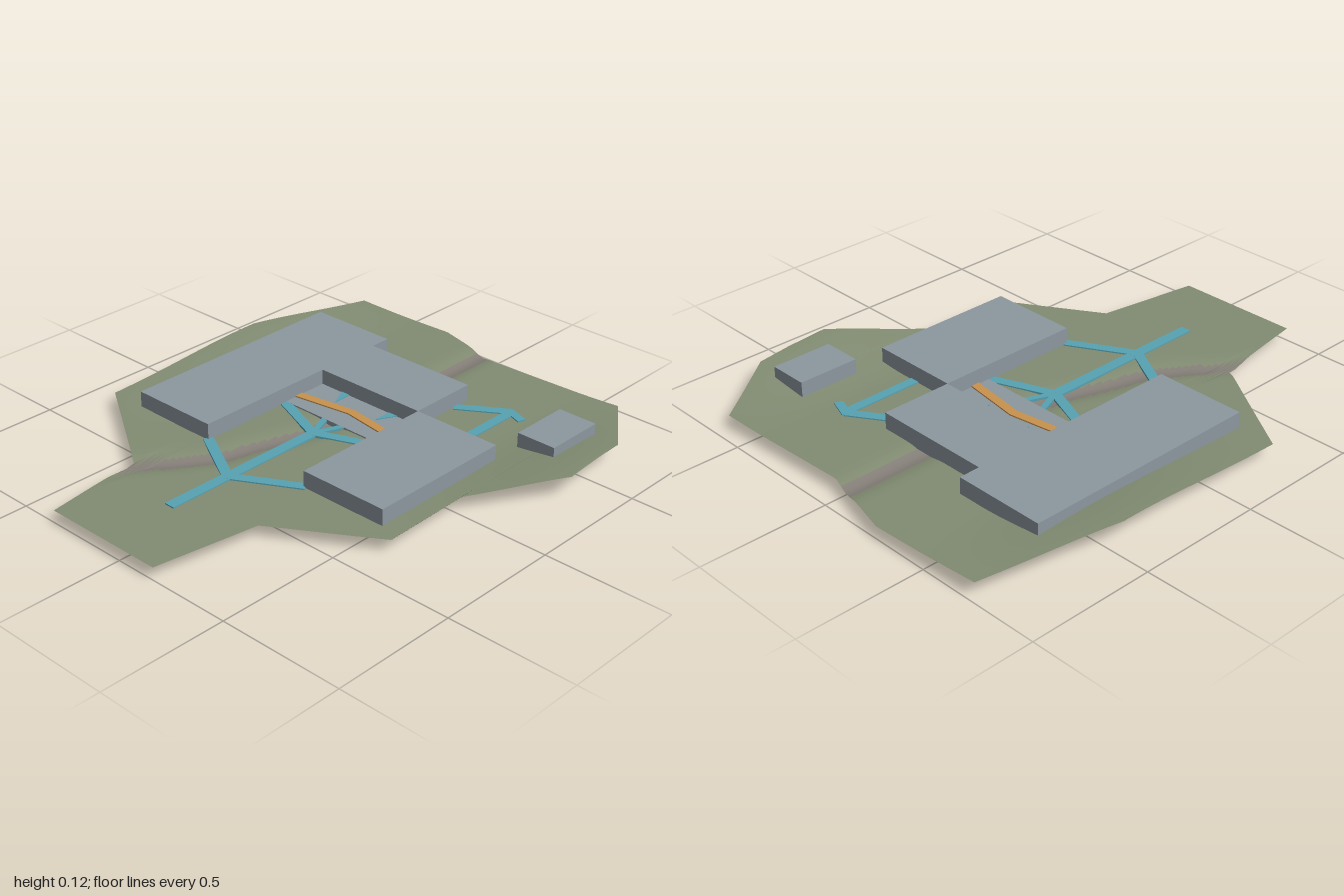
import * as THREE from 'three';

const mat = (name, color, side = THREE.FrontSide) => {
  const m = new THREE.MeshStandardMaterial({ color, side });
  m.name = name;
  return m;
};

// Outline of the ground as two x-ordered edges, [x, z]
const backEdge = [[-0.845, -0.45], [-0.72, -0.98], [-0.27, -1], [0.04, -0.92], [0.62, -0.945], [0.82, -0.66], [0.845, -0.345]];
const frontEdge = [[-0.845, 0.3], [-0.4, 0.59], [-0.34, 1], [0.17, 1], [0.235, 0.585], [0.62, 0.345], [0.621, -0.02], [0.845, -0.345]];
const creekLine = [[-0.04, -1.05], [-0.04, -0.55], [-0.09, 0], [-0.16, 0.2], [-0.2, 0.36], [-0.28, 0.48], [-0.42, 0.66]];

function edgeAt(edge, x) {
  for (let i = 1; i < edge.length; i++) {
    const [x0, z0] = edge[i - 1], [x1, z1] = edge[i];
    if (x <= x1) return z0 + (z1 - z0) * (x - x0) / (x1 - x0);
  }
  return edge[edge.length - 1][1];
}

function creekDistance(x, z) {
  let best = Infinity;
  for (let i = 1; i < creekLine.length; i++) {
    const [ax, az] = creekLine[i - 1], [bx, bz] = creekLine[i];
    const dx = bx - ax, dz = bz - az;
    const t = THREE.MathUtils.clamp(((x - ax) * dx + (z - az) * dz) / (dx * dx + dz * dz), 0, 1);
    best = Math.min(best, Math.hypot(x - ax - t * dx, z - az - t * dz));
  }
  return best;
}

// Ground rises at both sides and dips along the creek
function groundHeight(x, z) {
  const rise = THREE.MathUtils.smoothstep(Math.abs(x), 0.42, 0.88) * Math.exp(-(((z + 0.42) / 0.48) ** 2));
  return 0.05 + 0.043 * rise - 0.014 * Math.exp(-((creekDistance(x, z) / 0.05) ** 2));
}

function groundGeometry() {
  const xs = new Set([...backEdge, ...frontEdge].map((p) => p[0]));
  for (let i = 1; i < 120; i++) xs.add(-0.845 + 1.69 * i / 120);
  const cols = [...xs].sort((a, b) => a - b), rows = 90;
  const pos = [], grass = [], creek = [];
  for (const x of cols) {
    const z0 = edgeAt(backEdge, x), z1 = edgeAt(frontEdge, x);
    for (let j = 0; j <= rows; j++) {
      const z = z0 + (z1 - z0) * j / rows;
      pos.push(x, groundHeight(x, z), z);
    }
  }
  for (let i = 0; i < cols.length - 1; i++) {
    for (let j = 0; j < rows; j++) {
      const a = i * (rows + 1) + j, b = a + rows + 1;
      const mx = (pos[a * 3] + pos[b * 3 + 3]) / 2, mz = (pos[a * 3 + 2] + pos[b * 3 + 5]) / 2;
      (creekDistance(mx, mz) < 0.035 ? creek : grass).push(a, a + 1, b, b, a + 1, b + 1);
    }
  }
  const g = new THREE.BufferGeometry();
  g.setAttribute('position', new THREE.Float32BufferAttribute(pos, 3));
  g.setIndex([...grass, ...creek]);
  g.addGroup(0, grass.length, 0);
  g.addGroup(grass.length, creek.length, 1);
  g.computeVertexNormals();
  return g;
}

// Extrudes a plan outline of [x, z] points between two heights
function prism(points, y0, y1) {
  const shape = new THREE.Shape(points.map(([x, z]) => new THREE.Vector2(x, -z)));
  const g = new THREE.ExtrudeGeometry(shape, { depth: y1 - y0, bevelEnabled: false });
  g.rotateX(-Math.PI / 2);
  g.translate(0, y0, 0);
  return g;
}

// Plan outline of a straight strip
function strip([ax, az], [bx, bz], width) {
  const l = Math.hypot(bx - ax, bz - az);
  const nx = -(bz - az) / l * width / 2, nz = (bx - ax) / l * width / 2;
  return [[ax + nx, az + nz], [bx + nx, bz + nz], [bx - nx, bz - nz], [ax - nx, az - nz]];
}

export function createModel() {
  const model = new THREE.Group();
  const grassMat = mat('grass', 0x828c72, THREE.DoubleSide);
  const creekMat = mat('creek bed', 0x857f78, THREE.DoubleSide);
  const wallMat = mat('building grey', 0x8c979f);
  const pathMat = mat('path blue', 0x57a2b3);
  const orangeMat = mat('passage orange', 0xc8924d);

  const add = (name, geometry, material) => {
    const mesh = new THREE.Mesh(geometry, material);
    mesh.name = name;
    model.add(mesh);
  };
  const block = (name, x0, x1, z0, z1, y0, y1, material = wallMat) => {
    const g = new THREE.BoxGeometry(x1 - x0, y1 - y0, z1 - z0);
    g.translate((x0 + x1) / 2, (y0 + y1) / 2, (z0 + z1) / 2);
    add(name, g, material);
  };

  add('ground', groundGeometry(), [grassMat, creekMat]);

  // Upper storey
  block('rightWing', -0.69, -0.318, -0.68, 0.3, 0.043, 0.116);
  block('backWing', -0.318, 0.17, -0.595, -0.305, 0.043, 0.116);
  block('leftWing', 0.17, 0.54, -0.305, 0.3, 0.043, 0.116);
  block('outbuilding', 0.54, 0.703, -0.68, -0.43, 0.045, 0.116);

  // Lower storey with the sunken court roof
  block('lowerCourt', -0.318, 0.17, -0.305, -0.105, 0.002, 0.055);
  block('lowerRightWing', -0.69, -0.318, -0.475, -0.19, 0.002, 0.045);
  block('lowerBackDoor', -0.5, -0.45, -0.49, -0.455, 0, 0.045, orangeMat);

  // Bent passage crossing the court and running under both wings
  const spine = [[-0.5, -0.118], [-0.318, -0.172], [-0.074, -0.208], [0.17, -0.172], [0.355, -0.118]];
  const band = (pts) => [
    ...pts.map(([x, z]) => [x, z + 0.018]),
    ...pts.slice().reverse().map(([x, z]) => [x, z - 0.018]),
  ];
  add('passageCourt', prism(band(spine.slice(1, 4)), 0, 0.06), orangeMat);
  add('passageRight', prism(band(spine.slice(0, 2)), 0, 0.045), orangeMat);
  add('passageLeft', prism(band(spine.slice(3)), 0, 0.045), orangeMat);

  // Footpaths: [start, end, width]
  const c = -0.074;
  const paths = [
    [[c, -0.01], [c, 0.71], 0.045],
    [[0.355, -0.62], [0.355, -0.3], 0.04],
    [[0.17, -0.515], [0.35, -0.632], 0.04],
    [[0.34, -0.635], [0.425, -0.605], 0.035],
  ];
  for (const s of [-1, 1]) {
    paths.push([[c, 0], [c + s * 0.25, -0.1], 0.04]);
    paths.push([[c, 0], [c + s * 0.045, -0.11], 0.024]);
    paths.push([[c, 0.435], [c + s * 0.25, 0.295], 0.04]);
    // Tapering ramps at the back of the court
    const ramp = [[c + s * 0.143, -0.305], [c + s * 0.102, -0.305], [c + s * 0.102, -0.228]];
    add('courtRamp', prism(ramp, 0.05, 0.058), pathMat);
  }
  paths.forEach(([a, b, w], i) => add('footpath', prism(strip(a, b, w), 0.046, 0.0545 + i * 0.00005), pathMat));

  return model;
}
